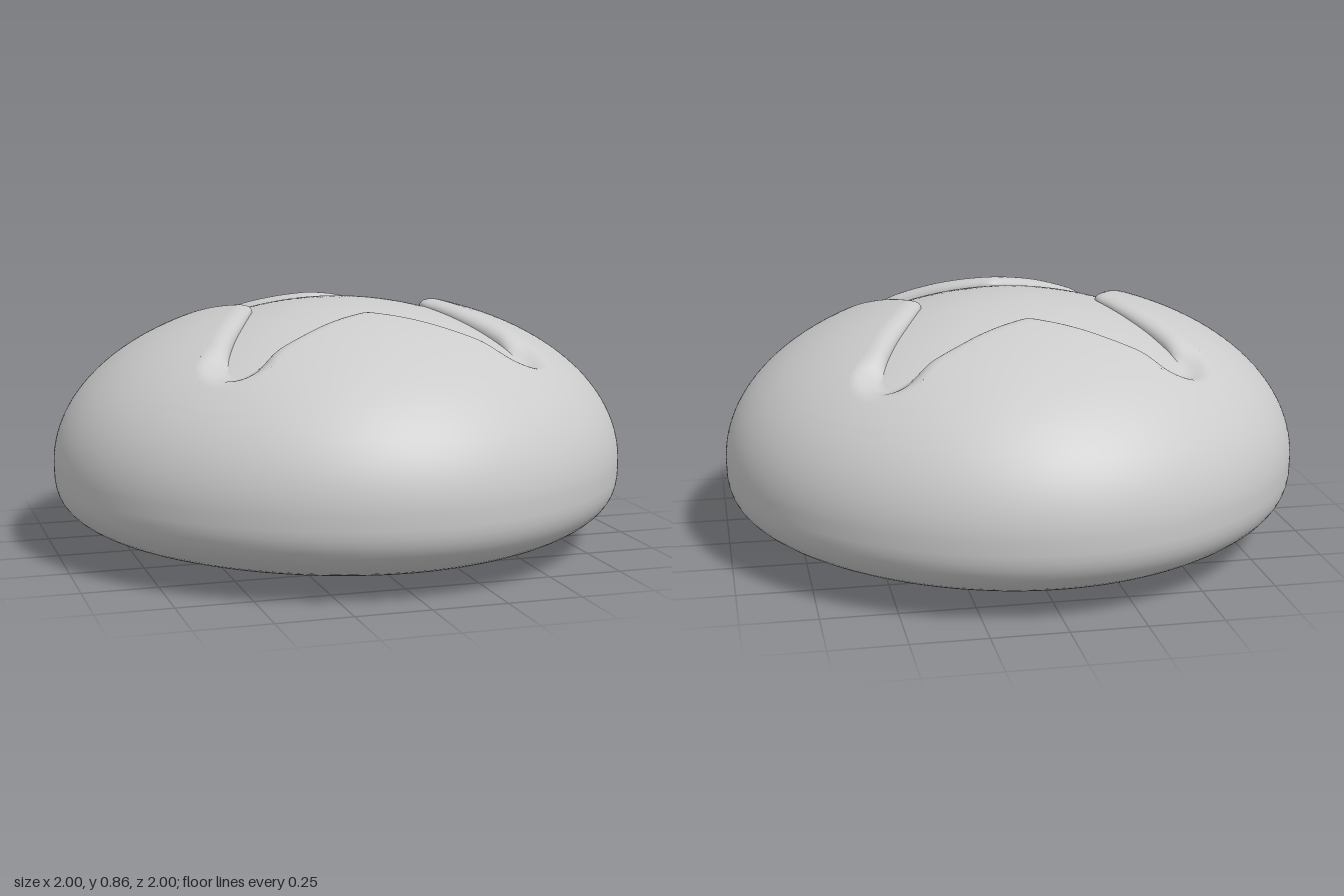
import * as THREE from 'three';

const N = 384; // samples around the bun

// Star-shaped score: one octant, mirrored about the diagonal and turned four times
function scoreCurve() {
  const octant = [[0.31, 0], [0.335, 0.07], [0.38, 0.165], [0.44, 0.28], [0.487, 0.39], [0.5, 0.45], [0.487, 0.487]];
  const mirrored = octant.slice(1, -1).reverse().map(([x, z]) => [z, x]);
  const points = [];
  for (let q = 0; q < 4; q++) {
    const c = Math.round(Math.cos(q * Math.PI / 2)), s = Math.round(Math.sin(q * Math.PI / 2));
    for (const [x, z] of [...octant, ...mirrored]) points.push(new THREE.Vector3(x * c - z * s, 0, x * s + z * c));
  }
  return new THREE.CatmullRomCurve3(points, true, 'centripetal');
}

// Slightly squarish footprint, domed crust and lower inner dome
const footprint = (a) => 1 - 0.0075 * (1 - Math.cos(4 * a));
const crustY = (x, z) => {
  const r = Math.min(1, Math.hypot(x, z) / footprint(Math.atan2(z, x)));
  return 0.3 + 0.58 * Math.sqrt(1 - Math.pow(r, 2.1));
};
const innerY = (x, z) => 0.86 - 0.41 * (x * x + z * z);

// Smooth surface through closed rings of N points
function loft(rings, name, material) {
  const positions = [], index = [];
  for (const ring of rings) for (const p of ring) positions.push(...p);
  for (let k = 0; k < rings.length - 1; k++) {
    for (let i = 0; i < N; i++) {
      const j = (i + 1) % N;
      const a = k * N + i, b = k * N + j, c = a + N, d = b + N;
      index.push(a, b, c, b, d, c);
    }
  }
  const geometry = new THREE.BufferGeometry();
  geometry.setAttribute('position', new THREE.Float32BufferAttribute(positions, 3));
  geometry.setIndex(index);
  geometry.computeVertexNormals();
  const mesh = new THREE.Mesh(geometry, material);
  mesh.name = name;
  return mesh;
}

export function createModel() {
  const group = new THREE.Group();
  group.name = 'scoredBun';
  const material = new THREE.MeshStandardMaterial({ color: 0xcccccc, roughness: 0.8, side: THREE.DoubleSide });

  const curve = scoreCurve();
  curve.arcLengthDivisions = 2000;
  const edge = Array.from({ length: N }, (_, i) => {
    const p = curve.getPointAt(i / N), t = curve.getTangentAt(i / N);
    const angle = i / N * Math.PI * 2;
    // 1 at the star tips, 0 along the flaps
    const tip = THREE.MathUtils.smoothstep(Math.hypot(p.x, p.z), 0.58, 0.69);
    return { x: p.x, z: p.z, nx: t.z, nz: -t.x, angle, tip, width: 0.065 + 0.045 * tip };
  });

  // Soft inside exposed by the score
  const insideRings = [];
  for (let k = 0; k <= 16; k++) {
    const s = Math.max(k / 16, 0.002);
    insideRings.push(edge.map((e) => [e.x * s, innerY(e.x * s, e.z * s), e.z * s]));
  }
  group.add(loft(insideRings, 'scoredCentre', material));

  const rings = [];
  // Rolled lip, softer at the star tips
  const lipSteps = 12;
  const lipPoint = (e, s) => {
    const a = s * Math.PI / 2;
    const d = e.width * THREE.MathUtils.lerp(1 - Math.cos(a), s, e.tip);
    const x = e.x + e.nx * d, z = e.z + e.nz * d;
    const rise = THREE.MathUtils.lerp(Math.sin(a), s * s * (3 - 2 * s), e.tip);
    return [x, THREE.MathUtils.lerp(innerY(x, z), crustY(x, z), rise), z];
  };
  for (let k = 0; k <= lipSteps; k++) rings.push(edge.map((e) => lipPoint(e, k / lipSteps)));

  // Upper crust, spreading from the lip to a round ring
  const shoulder = 0.88;
  for (let k = 1; k <= 20; k++) {
    const s = k / 20;
    rings.push(edge.map((e) => {
      const [lx, , lz] = lipPoint(e, 1), r = shoulder * footprint(e.angle);
      const x = THREE.MathUtils.lerp(lx, Math.cos(e.angle) * r, s);
      const z = THREE.MathUtils.lerp(lz, Math.sin(e.angle) * r, s);
      return [x, crustY(x, z), z];
    }));
  }

  // Side and flattened underside
  const addRound = (radius, y) => rings.push(edge.map((e) => {
    const r = radius * footprint(e.angle);
    return [Math.cos(e.angle) * r, y, Math.sin(e.angle) * r];
  }));
  const start = Math.asin(Math.pow(shoulder, 1.05));
  for (let k = 1; k <= 14; k++) {
    const a = THREE.MathUtils.lerp(start, Math.PI / 2, k / 14);
    addRound(Math.pow(Math.sin(a), 2 / 2.1), 0.3 + 0.58 * Math.cos(a));
  }
  for (let k = 1; k <= 24; k++) {
    const a = k / 24 * Math.PI / 2;
    addRound(Math.max(0.002, Math.pow(Math.cos(a), 2 / 3)), 0.3 - 0.3 * Math.pow(Math.sin(a), 2 / 3));
  }
  group.add(loft(rings, 'crust', material));
  return group;
}
